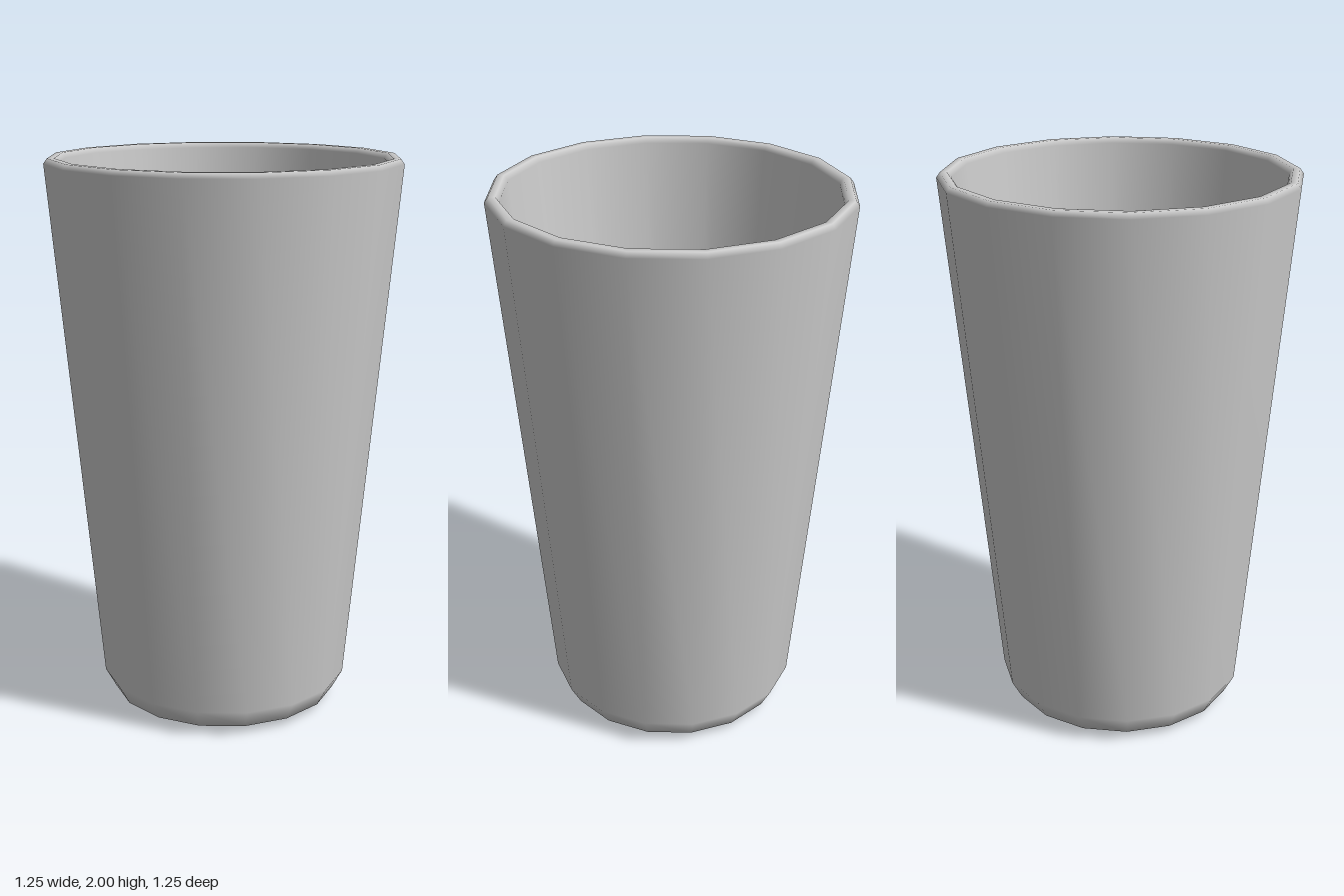
import * as THREE from 'three';

export function createModel() {
  const group = new THREE.Group();
  group.name = 'cup';
  const grey = new THREE.MeshStandardMaterial({ color: 0xcccccc });
  grey.name = 'light grey';

  // One closed wall profile: underside, outer wall, rounded rim, inner wall, floor
  const profile = [
    [0, 0], [0.345, 0.004], [0.415, 0.03], [0.453, 0.1],
    [0.625, 1.982], [0.612, 2], [0.588, 2], [0.575, 1.982],
    [0.406, 0.13], [0.388, 0.085], [0.34, 0.06], [0, 0.055],
  ].map(([r, y]) => new THREE.Vector2(r, y));

  const tumbler = new THREE.Mesh(new THREE.LatheGeometry(profile, 16), grey);
  tumbler.name = 'tumbler';
  group.add(tumbler);
  return group;
}
